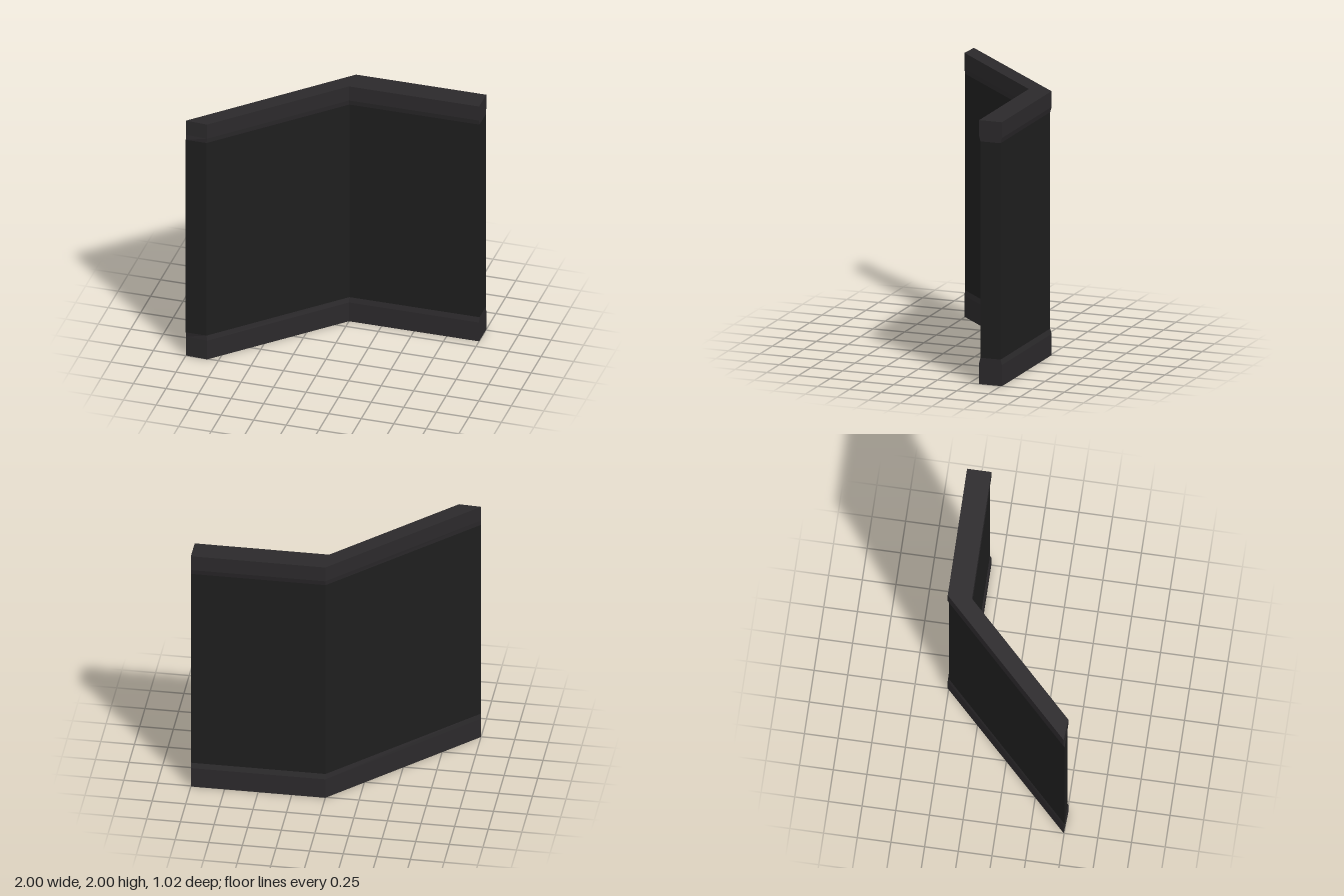
import * as THREE from 'three';

// Plan corners as [x, z]: front edge left to right, then back edge right to left
const wide = [[-0.835, 0.507], [0, -0.328], [1, -0.328], [1, -0.508], [0, -0.508], [-1, 0.497]];
const slim = [[-0.84, 0.503], [0, -0.338], [1, -0.338], [1, -0.497], [0, -0.497], [-1, 0.503]];

// Joins stacked plan outlines, each given as [outline, height]; cap is 'top', 'bottom' or none
function stack(name, color, levels, cap) {
  const pos = [];
  const quad = (a, b, c, d) => pos.push(...a, ...b, ...c, ...a, ...c, ...d);
  const rings = levels.map(([outline, y]) => outline.map(([x, z]) => [x, y, z]));
  for (let k = 0; k < rings.length - 1; k++) {
    const low = rings[k], high = rings[k + 1];
    for (let i = 0; i < low.length; i++) {
      const j = (i + 1) % low.length;
      quad(low[i], low[j], high[j], high[i]);
    }
  }
  if (cap) {
    const r = cap === 'top' ? rings[rings.length - 1] : rings[0];
    for (const ids of [[0, 1, 4, 5], [1, 2, 3, 4]]) {
      if (cap === 'bottom') ids.reverse();
      quad(...ids.map((i) => r[i]));
    }
  }
  const geometry = new THREE.BufferGeometry();
  geometry.setAttribute('position', new THREE.Float32BufferAttribute(pos, 3));
  geometry.computeVertexNormals();
  const mesh = new THREE.Mesh(geometry, new THREE.MeshStandardMaterial({ color, flatShading: true }));
  mesh.name = name;
  return mesh;
}

export function createModel() {
  const group = new THREE.Group();
  group.name = 'angledWall';
  const wallColor = 0x1e1e1e, trimColor = 0x2b292b;
  group.add(
    // Skirting with a sloped upper edge
    stack('baseTrim', trimColor, [[wide, 0], [wide, 0.16], [slim, 0.2]], 'bottom'),
    // Bent wall panel between the trims
    stack('wallPanel', wallColor, [[slim, 0.2], [slim, 1.84]]),
    // Cornice with a sloped lower edge
    stack('topTrim', trimColor, [[slim, 1.84], [wide, 1.88], [wide, 2]], 'top'),
  );
  return group;
}
